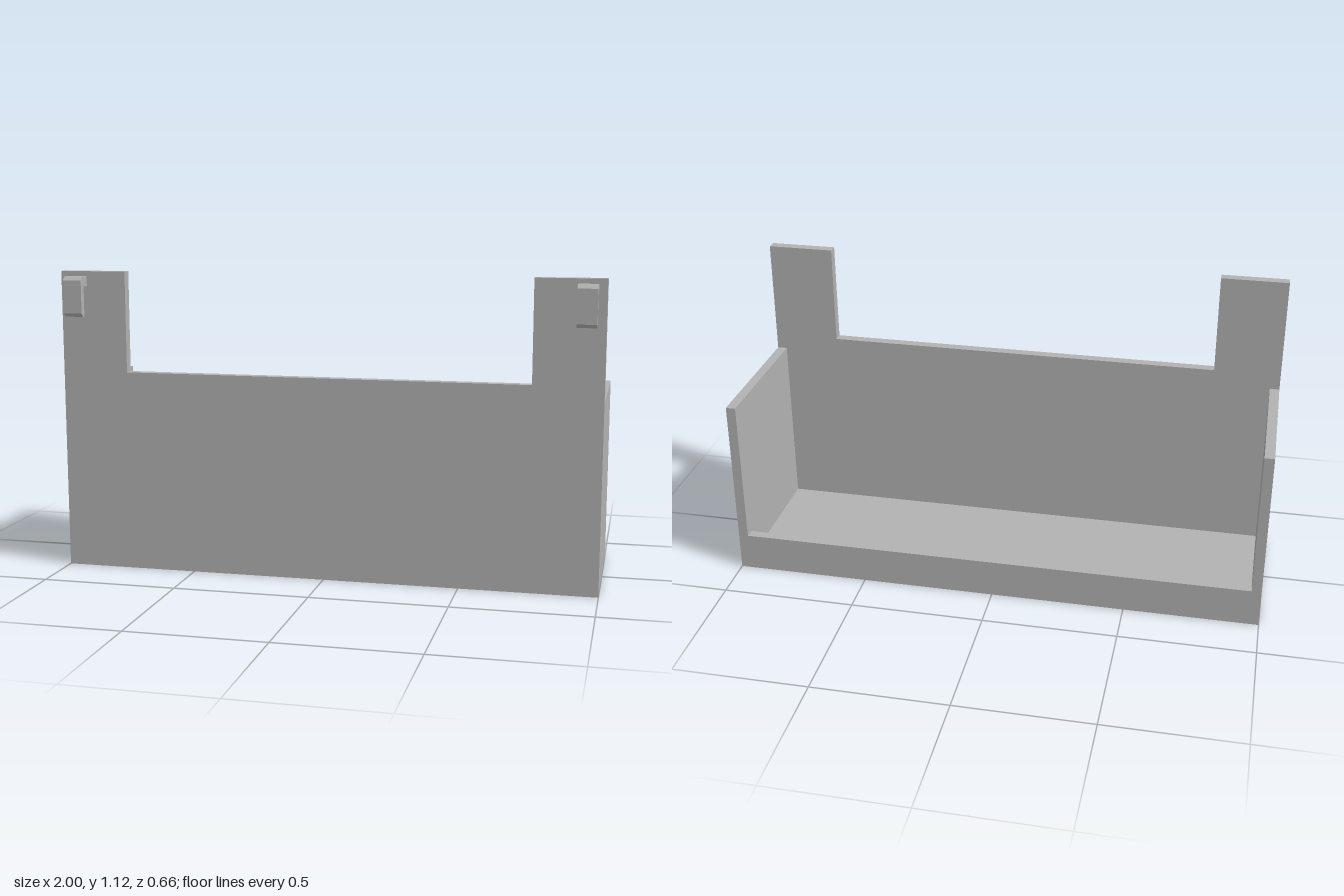
import * as THREE from 'three';

export function createModel() {
  const group = new THREE.Group();
  const grey = new THREE.MeshStandardMaterial({ color: 0xb2b2b2 });
  grey.name = 'grey';

  const T = 0.036;               // board thickness
  const BACK = -0.328, FRONT = 0.273;
  const INNER = FRONT - 0.038;   // rear face of the front panel

  const add = (name, geometry) => {
    const mesh = new THREE.Mesh(geometry, grey);
    mesh.name = name;
    group.add(mesh);
    return mesh;
  };
  const box = (name, x0, x1, y0, y1, z0, z1) =>
    add(name, new THREE.BoxGeometry(x1 - x0, y1 - y0, z1 - z0))
      .position.set((x0 + x1) / 2, (y0 + y1) / 2, (z0 + z1) / 2);
  const outline = (points) => new THREE.Shape(points.map(([x, y]) => new THREE.Vector2(x, y)));

  // Front panel with a raised tab at each end
  const panel = outline([
    [-1, 0], [1, 0], [1, 1.123], [0.75, 1.123],
    [0.75, 0.75], [-0.75, 0.75], [-0.75, 1.123], [-1, 1.123],
  ]);
  add('frontPanel', new THREE.ExtrudeGeometry(panel, { depth: FRONT - INNER, bevelEnabled: false }))
    .position.z = INNER;

  // Tray floor and low lip along the back
  box('floor', -1 + T, 1 - T, 0, T, BACK + T, INNER);
  box('backLip', -1 + T, 1 - T, 0, 0.143, BACK, BACK + T);

  // Hook profile, drawn as (z, y)
  const hook = outline([
    [FRONT, 1.068], [0.303, 1.068], [0.303, 0.957], [0.314, 0.957],
    [0.328, 0.97], [0.328, 1.092], [0.314, 1.105], [FRONT, 1.105],
  ]);
  const hookWidth = 0.07;
  const hookGeometry = new THREE.ExtrudeGeometry(hook, { depth: hookWidth, bevelEnabled: false });
  hookGeometry.translate(0, 0, -hookWidth / 2).rotateY(-Math.PI / 2);

  // Side walls and hooks, mirrored
  for (const [side, s] of [['left', 1], ['right', -1]]) {
    const mid = s * (1 - T / 2);
    box(side + 'Wall', mid - T / 2, mid + T / 2, 0, 0.692, BACK, INNER);
    add(side + 'Hook', hookGeometry).position.x = s * 0.935;
  }
  return group;
}
